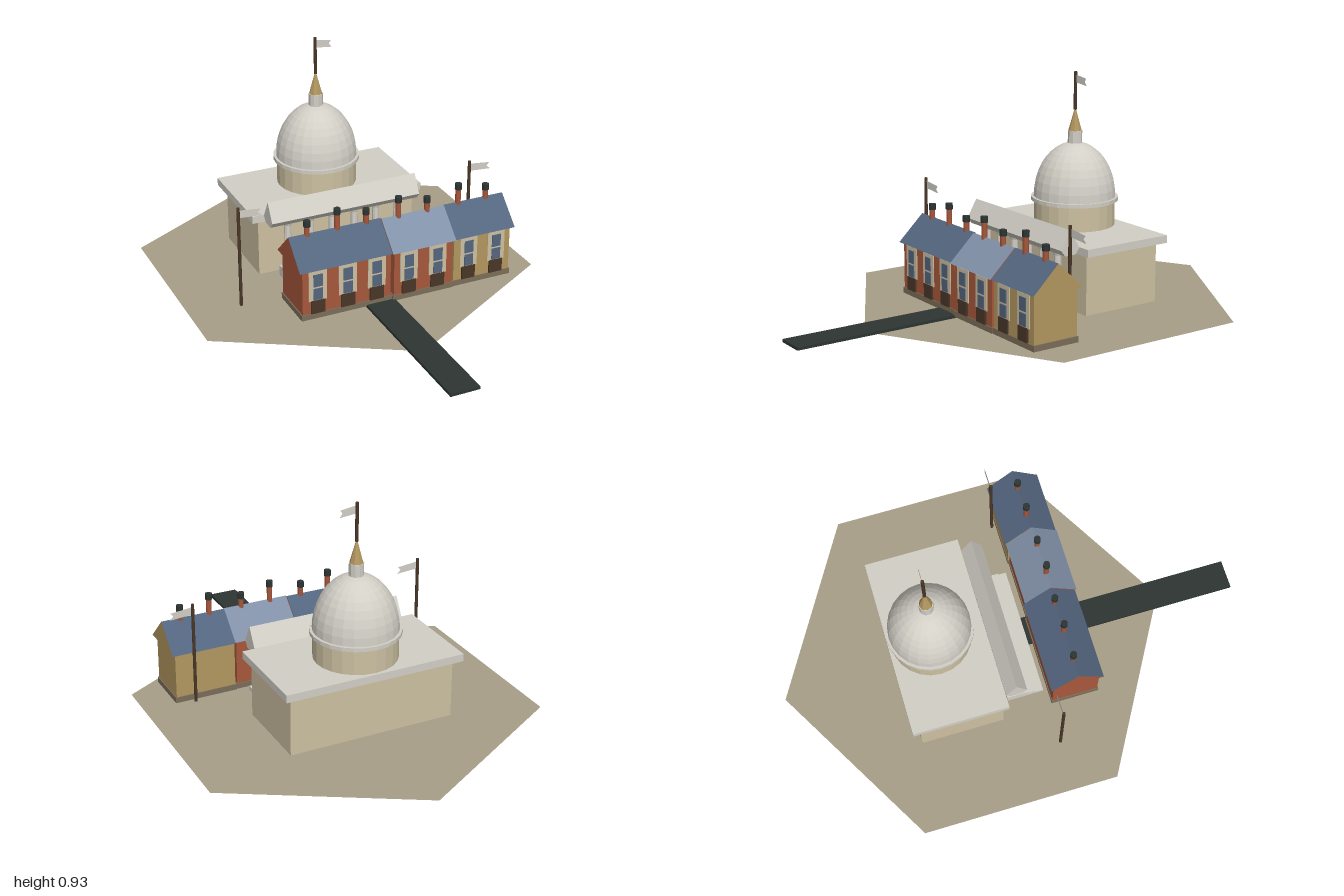
import * as THREE from 'three';

const mat = (name, color, extra = {}) => {
  const m = new THREE.MeshStandardMaterial({ color, ...extra });
  m.name = name;
  return m;
};

export function createModel() {
  const root = new THREE.Group();
  root.name = 'domedHallAndTerrace';

  const ground = mat('ground', 0xa89e88, { side: THREE.DoubleSide });
  const stone = mat('paleStone', 0xd2cfc6, { flatShading: true, side: THREE.DoubleSide });
  const cream = mat('creamStone', 0xcdc1a2, { flatShading: true });
  const brick = mat('redBrick', 0xa8583c);
  const tan = mat('tanStone', 0xb3975f, { flatShading: true });
  const slate = mat('blueSlate', 0x54667f);
  const lightSlate = mat('lightSlate', 0x8191a8);
  const iron = mat('darkIron', 0x2d3533);
  const brown = mat('darkWood', 0x4a3728);
  const plinth = mat('plinthStone', 0x7b6e59);

  const add = (name, geo, material, x = 0, y = 0, z = 0, parent = root) => {
    const m = new THREE.Mesh(geo, material);
    m.name = name;
    m.position.set(x, y, z);
    parent.add(m);
    return m;
  };
  // Box given by its extents on each axis
  const box = (name, material, [x0, x1], [y0, y1], [z0, z1], parent = root) =>
    add(name, new THREE.BoxGeometry(x1 - x0, y1 - y0, z1 - z0), material,
      (x0 + x1) / 2, (y0 + y1) / 2, (z0 + z1) / 2, parent);
  // Upright cylinder or cone from y0 to y1
  const post = (name, material, rBottom, rTop, y0, y1, x, z, sides = 8, parent = root) =>
    add(name, new THREE.CylinderGeometry(rTop, rBottom, y1 - y0, sides), material, x, (y0 + y1) / 2, z, parent);
  // Prism along x from a [z, y] profile; materials are [ends, sides]
  const prism = (name, materials, profile, x0, x1, z, parent = root) => {
    const shape = new THREE.Shape(profile.map(([pz, py]) => new THREE.Vector2(-pz, py)));
    const geo = new THREE.ExtrudeGeometry(shape, { depth: x1 - x0, bevelEnabled: false });
    geo.rotateY(Math.PI / 2);
    return add(name, geo, materials, x0, 0, z, parent);
  };

  // Hexagonal ground and approach road
  add('hexGround', new THREE.CircleGeometry(0.84, 6, Math.PI / 2).rotateX(-Math.PI / 2), ground, 0, 0, -0.16);
  box('road', iron, [-0.062, 0.062], [0.004, 0.016], [-0.03, 1]);

  // Main hall
  const cz = -0.338;
  box('hallBody', cream, [-0.355, 0.355], [0.01, 0.26], [-0.488, -0.13]);
  box('hallCornice', stone, [-0.385, 0.385], [0.26, 0.292], [-0.52, -0.112]);
  post('drum', cream, 0.17, 0.17, 0.292, 0.4, 0, cz, 24);
  post('drumRing', stone, 0.183, 0.183, 0.396, 0.412, 0, cz, 24);
  const dome = new THREE.SphereGeometry(1, 24, 10, 0, Math.PI * 2, 0, Math.PI / 2);
  dome.scale(0.172, 0.23, 0.172);
  add('dome', dome, stone, 0, 0.41, cz);
  post('lantern', stone, 0.03, 0.03, 0.63, 0.688, 0, cz, 10);
  post('spire', tan, 0.028, 0.003, 0.688, 0.778, 0, cz, 8);

  // Portico: steps, columns, entablature and ridged roof
  box('lowerStep', stone, [-0.28, 0.28], [0.01, 0.026], [-0.09, 0.07]);
  box('middleStep', stone, [-0.28, 0.28], [0.026, 0.04], [-0.09, 0.035]);
  box('upperStep', stone, [-0.28, 0.28], [0.04, 0.055], [-0.09, 0]);
  for (let i = 0; i < 6; i++) {
    const x = -0.25 + i * 0.1;
    post('column', stone, 0.016, 0.014, 0.055, 0.25, x, -0.066, 10);
    post('capital', stone, 0.016, 0.021, 0.25, 0.268, x, -0.066, 10);
  }
  prism('porticoRoof', [stone, stone],
    [[0.045, 0.29], [0, 0.368], [-0.045, 0.29], [-0.025, 0.265], [0.025, 0.265]], -0.335, 0.332, -0.066);

  // Terraced houses: bays hold a window, a door and a chimney
  const houses = [
    { wall: brick, roof: slate, x: [-0.34, 0.045], rx: [-0.355, 0.046], z: 0.193, bays: [-0.275, -0.145, -0.018] },
    { wall: brick, roof: lightSlate, x: [0.057, 0.32], rx: [0.046, 0.33], z: 0.2, bays: [0.122, 0.252] },
    { wall: tan, roof: slate, x: [0.33, 0.59], rx: [0.33, 0.605], z: 0.196, bays: [0.397, 0.525] },
  ];
  let bayIndex = 0;
  for (const h of houses) {
    const house = new THREE.Group();
    house.name = 'terraceHouse';
    root.add(house);
    const f = h.z + 0.1;
    box('plinth', plinth, [h.x[0] - 0.005, h.x[1] + 0.005], [0.01, 0.034], [h.z - 0.104, f + 0.004], house);
    box('walls', h.wall, h.x, [0.034, 0.24], [h.z - 0.1, f], house);
    prism('roof', [h.wall, h.roof], [[0.114, 0.228], [0, 0.337], [-0.114, 0.228]], h.rx[0], h.rx[1], h.z, house);
    for (const x of h.bays) {
      box('windowSurround', cream, [x - 0.039, x + 0.039], [0.09, 0.222], [f, f + 0.004], house);
      for (const [y0, y1] of [[0.095, 0.145], [0.153, 0.207]])
        box('windowPane', slate, [x - 0.02, x + 0.02], [y0, y1], [f, f + 0.007], house);
      box('door', brown, [x - 0.03, x + 0.03], [0.035, 0.092], [f, f + 0.008], house);
      const top = bayIndex++ % 2 ? 0.42 : 0.393;
      post('chimney', brick, 0.012, 0.012, 0.32, top - 0.024, x, h.z, 8, house);
      post('chimneyCap', iron, 0.015, 0.015, top - 0.025, top, x, h.z, 8, house);
    }
  }

  // Flagpoles with swallow-tailed flags
  const flagpole = (x, z, y0, y1, length) => {
    const g = new THREE.Group();
    g.name = 'flagpole';
    root.add(g);
    post('pole', brown, 0.007, 0.007, y0, y1, x, z, 8, g);
    const s = new THREE.Shape([[0, -0.012], [length * 0.95, -0.022], [length * 0.82, -0.036],
      [length, -0.052], [0, -0.045]].map(p => new THREE.Vector2(...p)));
    add('flag', new THREE.ShapeGeometry(s), stone, x, y1, z, g);
  };
  flagpole(-0.515, 0.075, 0.01, 0.446, 0.1);
  flagpole(0.515, 0.075, 0.01, 0.446, 0.1);
  flagpole(0, cz, 0.775, 0.934, 0.075);

  return root;
}
